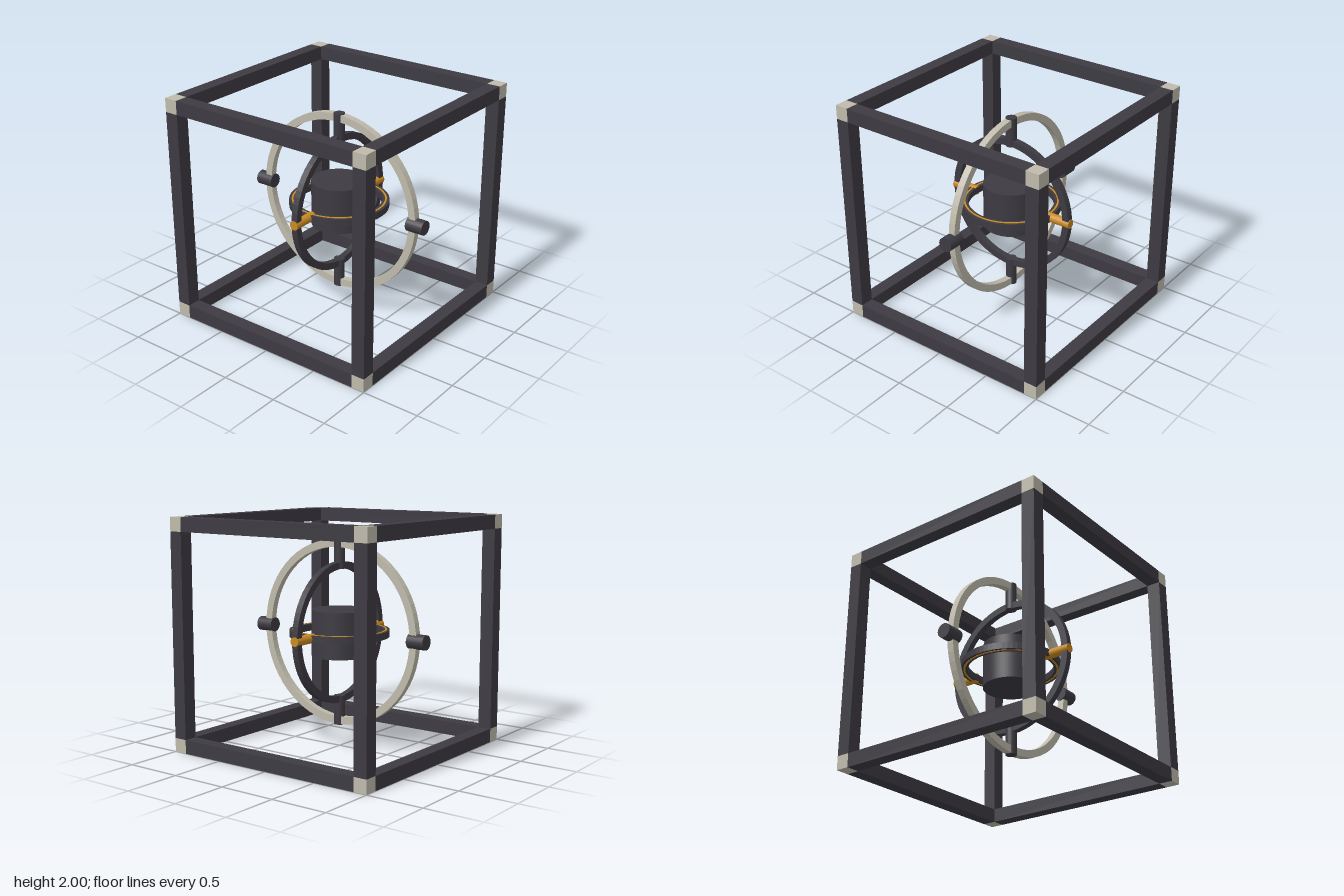
import * as THREE from 'three';

const dark = new THREE.MeshStandardMaterial({ name: 'charcoal', color: 0x3d3b42 });
const pale = new THREE.MeshStandardMaterial({ name: 'pale stone', color: 0xbfbaab });
const gold = new THREE.MeshStandardMaterial({ name: 'gold', color: 0xc98a24 });

const BAR = 0.12; // frame bar thickness
const EDGE = 1 - BAR / 2; // distance of bar centres from the middle

function add(parent, name, geometry, material, x = 0, y = 0, z = 0) {
  const mesh = new THREE.Mesh(geometry, material);
  mesh.name = name;
  mesh.position.set(x, y, z);
  parent.add(mesh);
  return mesh;
}

// Flat ring with a rectangular section, lying in the XY plane
function ringGeometry(outer, inner, depth) {
  const shape = new THREE.Shape().absarc(0, 0, outer, 0, Math.PI * 2, false);
  shape.holes.push(new THREE.Path().absarc(0, 0, inner, 0, Math.PI * 2, true));
  const geometry = new THREE.ExtrudeGeometry(shape, { depth, bevelEnabled: false, curveSegments: 32 });
  return geometry.translate(0, 0, -depth / 2);
}

// Pair of round pivots placed on both sides along one axis
function addPivots(parent, name, axis, from, to, radius, material) {
  const geometry = new THREE.CylinderGeometry(radius, radius, to - from, 20);
  if (axis === 'x') geometry.rotateZ(Math.PI / 2);
  if (axis === 'z') geometry.rotateX(Math.PI / 2);
  for (const side of [-1, 1]) {
    add(parent, name, geometry, material).position[axis] = side * (from + to) / 2;
  }
}

export function createModel() {
  const model = new THREE.Group();
  model.name = 'gyroscope';
  const core = new THREE.Group();
  core.name = 'gimbal';
  core.position.y = 1;
  model.add(core);

  // Cube frame: four bars along each axis
  const frame = new THREE.Group();
  frame.name = 'frame';
  frame.position.y = 1;
  model.add(frame);
  const span = 2 - 2 * BAR;
  for (const a of [-EDGE, EDGE]) {
    for (const b of [-EDGE, EDGE]) {
      add(frame, 'barX', new THREE.BoxGeometry(span, BAR, BAR), dark, 0, a, b);
      add(frame, 'barY', new THREE.BoxGeometry(BAR, span, BAR), dark, a, 0, b);
      add(frame, 'barZ', new THREE.BoxGeometry(BAR, BAR, span), dark, a, b, 0);
      // Corner blocks
      for (const c of [-EDGE, EDGE]) {
        add(frame, 'cornerBlock', new THREE.BoxGeometry(BAR, BAR, BAR), pale, a, b, c);
      }
    }
  }

  // Three nested rings, each in its own plane
  add(core, 'outerRing', ringGeometry(0.8, 0.735, 0.06), pale);
  add(core, 'middleRing', ringGeometry(0.61, 0.55, 0.056), dark).rotation.y = Math.PI / 2;
  add(core, 'innerRing', ringGeometry(0.43, 0.37, 0.06), dark).rotation.x = Math.PI / 2;

  // Thin gold line on both faces of the inner ring
  for (const side of [-1, 1]) {
    add(core, 'innerRingInlay', ringGeometry(0.408, 0.392, 0.004), gold, 0, side * 0.031, 0)
      .rotation.x = Math.PI / 2;
  }

  // Pivots joining frame to outer, outer to middle and middle to inner ring
  addPivots(core, 'framePivot', 'x', 0.72, 0.88, 0.063, dark);
  addPivots(core, 'middlePivot', 'y', 0.55, 0.805, 0.048, dark);
  addPivots(core, 'innerPivot', 'z', 0.37, 0.615, 0.04, gold);

  // Central rotor
  add(core, 'rotor', new THREE.CylinderGeometry(0.24, 0.24, 0.4, 48), dark);

  return model;
}
